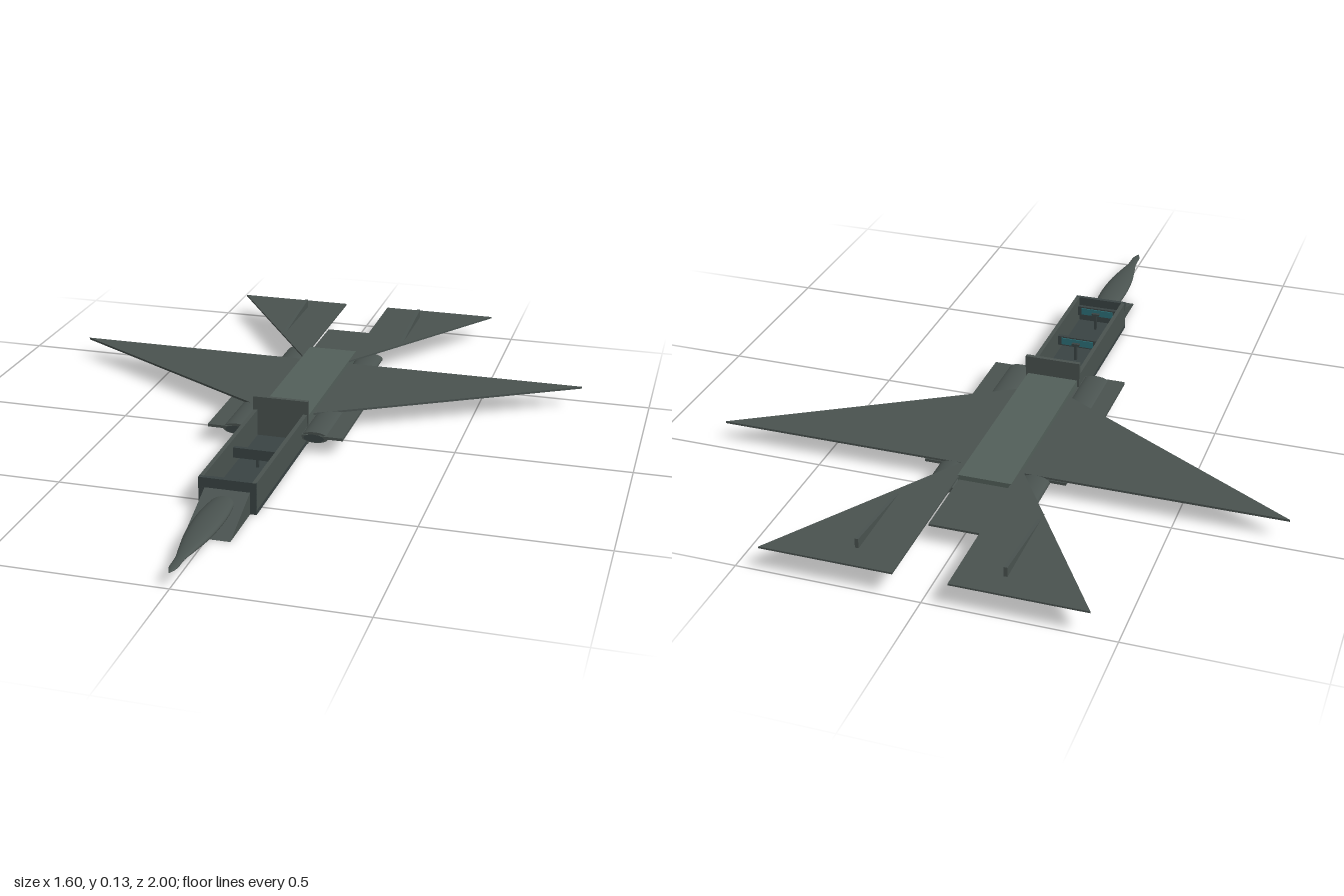
import * as THREE from 'three';

const mat = (color) => new THREE.MeshStandardMaterial({ color, side: THREE.DoubleSide });

export function createModel() {
  const model = new THREE.Group();
  const skin = mat(0x4a5350), deck = mat(0x53605a), dark = mat(0x3a4444), glass = mat(0x2c7078);

  const add = (name, geometry, material, x = 0, y = 0, z = 0) => {
    const mesh = new THREE.Mesh(geometry, material);
    mesh.name = name;
    mesh.position.set(x, y, z);
    model.add(mesh);
    return mesh;
  };
  // Box given by its limits on each axis
  const box = (name, material, x0, x1, y0, y1, z0, z1) =>
    add(name, new THREE.BoxGeometry(Math.abs(x1 - x0), y1 - y0, z1 - z0), material,
      (x0 + x1) / 2, (y0 + y1) / 2, (z0 + z1) / 2);
  const extrude = (points, depth) => new THREE.ExtrudeGeometry(
    new THREE.Shape(points.map(([a, b]) => new THREE.Vector2(a, b))),
    { depth, bevelEnabled: false });
  // Flat panel from [x, z] corners, with its underside at y
  const panel = (name, material, points, y, thickness) =>
    add(name, extrude(points.map(([x, z]) => [x, -z]), thickness).rotateX(-Math.PI / 2), material, 0, y, 0);
  // Side profile from [z, y] corners, centred on x
  const profile = (name, material, points, width, x = 0) =>
    add(name, extrude(points.map(([z, y]) => [-z, y]), width).translate(0, 0, -width / 2).rotateY(Math.PI / 2),
      material, x, 0, 0);

  // Rear fuselage and tail deck
  box('rearFuselage', deck, -0.075, 0.075, 0, 0.075, -0.54, 0.05);
  box('tailDeck', skin, -0.072, 0.072, 0.055, 0.061, -0.76, -0.54);

  // Open cockpit tub
  box('cockpitFloor', dark, -0.08, 0.08, 0, 0.012, 0.05, 0.55);
  box('cockpitFrontWall', dark, -0.08, 0.08, 0.012, 0.09, 0.538, 0.55);
  box('cockpitBulkhead', skin, -0.082, 0.082, 0, 0.13, 0.045, 0.057);
  for (const z of [0.3, 0.51]) {
    box('instrumentPanel', dark, -0.062, 0.062, 0.045, 0.075, z - 0.006, z + 0.006);
    box('instrumentScreen', glass, -0.05, 0.05, 0.05, 0.071, z - 0.009, z - 0.006);
    box('controlColumn', dark, -0.004, 0.004, 0.012, 0.06, z - 0.026, z - 0.018);
    box('controlGrip', dark, -0.012, 0.012, 0.06, 0.066, z - 0.027, z - 0.017);
  }

  // Nose ramp and flattened nose cone
  profile('noseRamp', skin, [[0.55, 0], [0.72, 0], [0.55, 0.062]], 0.125);
  const outline = new THREE.SplineCurve([[0.003, 0.52], [0.026, 0.56], [0.037, 0.63], [0.04, 0.7],
    [0.035, 0.79], [0.022, 0.87], [0.013, 0.92], [0.011, 0.97], [0.001, 1]]
    .map(([r, z]) => new THREE.Vector2(r, z)));
  const nose = new THREE.LatheGeometry(outline.getPoints(32), 32).rotateX(Math.PI / 2).scale(1, 0.38, 1);
  add('noseCone', nose, skin, 0, 0.043, 0);

  for (const s of [1, -1]) {
    const mirror = (points) => points.map(([x, z]) => [x * s, z]);
    box('cockpitSideWall', skin, s * 0.068, s * 0.08, 0.012, 0.09, 0.05, 0.55);

    // Wing and tailplane
    panel('wing', skin, mirror([[0.06, -0.46], [0.8, -0.46], [0.06, -0.02]]), 0.056, 0.006);
    panel('tailplane', skin, mirror([[0.072, -1], [0.43, -1], [0.072, -0.45]]), 0.068, 0.005);
    profile('tailFin', skin, [[-0.64, 0.07], [-0.93, 0.07], [-0.93, 0.1]], 0.01, s * 0.195);

    // Intake shelf and engine pod
    box('intakeShelf', skin, s * 0.07, s * 0.2, 0.046, 0.054, -0.46, 0.115);
    const pod = new THREE.CylinderGeometry(0.04, 0.04, 0.68, 32).rotateX(Math.PI / 2).scale(1, 0.4, 1);
    add('enginePod', pod, skin, s * 0.116, 0.046, -0.23);
    const intake = new THREE.CircleGeometry(0.03, 32).scale(1, 0.38, 1);
    add('intakeOpening', intake, dark, s * 0.116, 0.046, 0.117);
  }
  return model;
}
